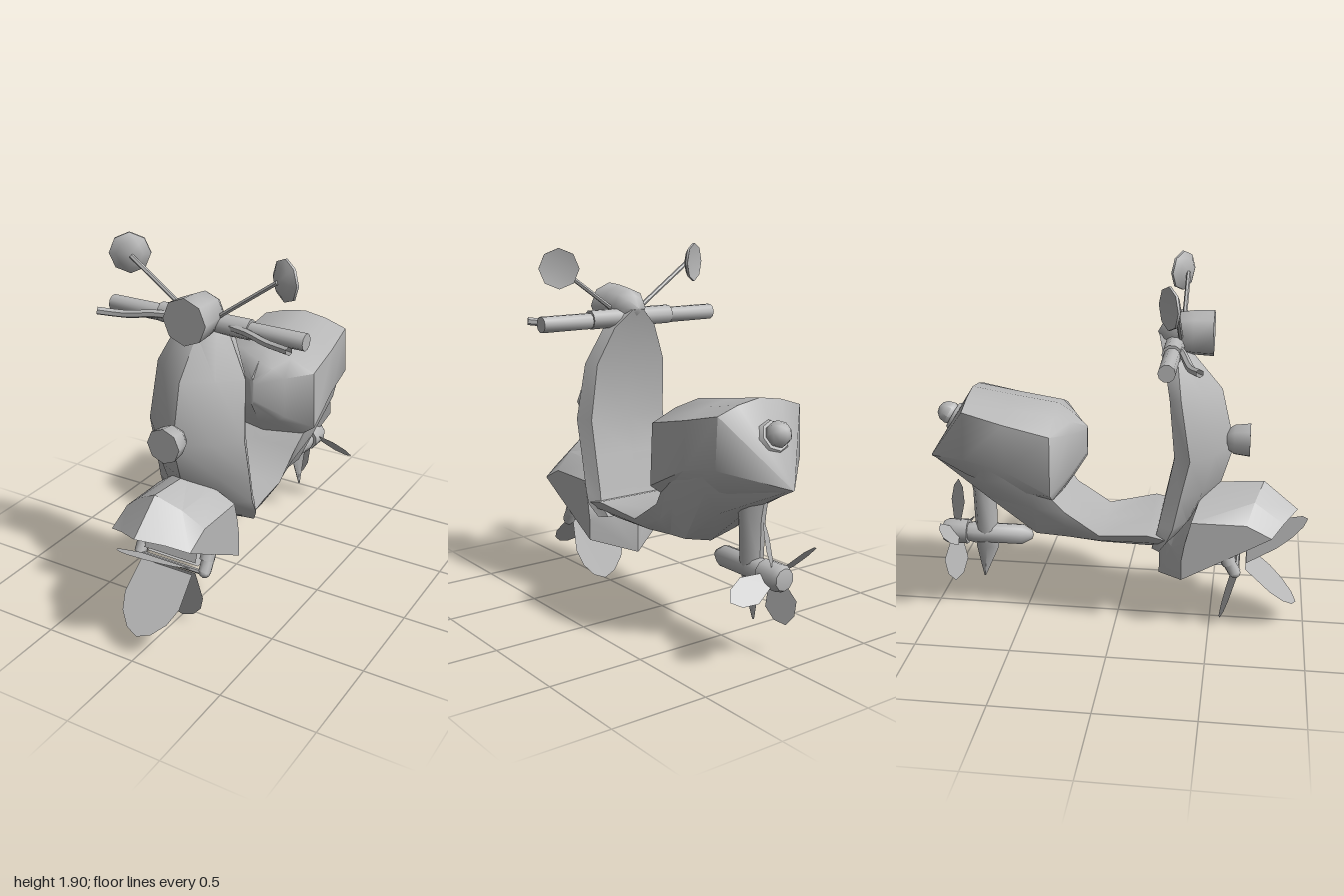
import * as THREE from 'three';
import { toCreasedNormals } from 'three/addons/utils/BufferGeometryUtils.js';

const grey = new THREE.MeshStandardMaterial({ color: 0xb8b8b8, side: THREE.DoubleSide });
grey.name = 'grey';
const V = (x, y, z) => new THREE.Vector3(x, y, z);

function add(parent, name, geometry, crease = 0.9) {
  const mesh = new THREE.Mesh(toCreasedNormals(geometry, crease), grey);
  mesh.name = name;
  parent.add(mesh);
  return mesh;
}

// Skin between rows of points; closed rows form capped tubes, open rows form a shell
function loft(rows, closed = true) {
  const n = rows[0].length, pos = [], idx = [];
  rows.flat().forEach(p => pos.push(p.x, p.y, p.z));
  for (let i = 0; i < rows.length - 1; i++)
    for (let j = 0; j < (closed ? n : n - 1); j++) {
      const a = i * n + j, b = i * n + (j + 1) % n;
      idx.push(a, b, b + n, a, b + n, a + n);
    }
  const last = (rows.length - 1) * n;
  for (let j = 1; closed && j < n - 1; j++) idx.push(0, j + 1, j, last, last + j, last + j + 1);
  const g = new THREE.BufferGeometry();
  g.setAttribute('position', new THREE.Float32BufferAttribute(pos, 3));
  g.setIndex(idx);
  return g;
}

// Mirrors a half section (first and last point on the centre line) into a ring
const ring = half => half.concat(half.slice(1, -1).reverse().map(p => V(-p.x, p.y, p.z)));

// Cylinder or cone between two points
function rod(a, b, r1, r2 = r1, sides = 8) {
  const d = b.clone().sub(a);
  const g = new THREE.CylinderGeometry(r2, r1, d.length(), sides);
  g.applyQuaternion(new THREE.Quaternion().setFromUnitVectors(V(0, 1, 0), d.normalize()));
  const m = a.clone().add(b).multiplyScalar(0.5);
  return g.translate(m.x, m.y, m.z);
}

// Lathe about the z axis; profile is [radius, z]
const latheZ = (profile, y, sides = 8) =>
  new THREE.LatheGeometry(profile.map(([r, z]) => new THREE.Vector2(r, z)), sides)
    .rotateX(Math.PI / 2).translate(0, y, 0);

// Flat symmetric blade growing along +y; outline is [half width, y] from root to tip
function blade(outline) {
  const left = outline.slice(0, -1).reverse().map(([x, y]) => [-x, y]);
  return new THREE.ShapeGeometry(new THREE.Shape([...outline, ...left].map(p => new THREE.Vector2(...p))));
}

export function createModel() {
  const model = new THREE.Group();
  model.name = 'paddleScooter';

  // Leg shield: [y, half width, front z, edge z, back z]
  const shield = [
    [0.49, 0.245, 0.27, 0.24, 0.2], [0.56, 0.28, 0.36, 0.28, 0.22], [0.63, 0.275, 0.43, 0.31, 0.235],
    [0.8, 0.275, 0.54, 0.345, 0.27], [1.0, 0.275, 0.6, 0.39, 0.31], [1.3, 0.25, 0.53, 0.34, 0.28],
    [1.49, 0.15, 0.37, 0.31, 0.24], [1.58, 0.04, 0.27, 0.24, 0.21]
  ].map(([y, w, f, e, b]) => ring([
    V(0, y, b), V(w * 0.85, y, b), V(w, y, e), V(w * 0.6, y, e + (f - e) * 0.55), V(0, y, f)
  ]));
  add(model, 'legShield', loft(shield), 0.6);

  // Floor running back into the belly and tail: [z, bottom, top, half width]
  const floor = [
    [0.27, 0.49, 0.57, 0.275], [0.18, 0.475, 0.59, 0.275], [-0.07, 0.47, 0.55, 0.225],
    [-0.25, 0.475, 0.67, 0.22], [-0.41, 0.48, 0.87, 0.27], [-0.66, 0.68, 0.94, 0.265], [-0.98, 0.86, 0.88, 0.02]
  ].map(([z, b, t, w]) => ring([
    V(0, b, z), V(w * 0.6, b + (t - b) * 0.1, z), V(w * 0.9, b + (t - b) * 0.55, z), V(w, t, z), V(0, t, z)
  ]));
  add(model, 'floor', loft(floor), 0.9);

  // Seat and tail pod, pointed at both ends: [z, bottom, lower side y, upper side y, top, half width]
  const pod = [
    [-0.16, 0.91, 0.94, 1.03, 1.07, 0.012], [-0.235, 0.79, 0.85, 1.07, 1.14, 0.16],
    [-0.31, 0.68, 0.79, 1.1, 1.19, 0.3], [-0.55, 0.64, 0.91, 1.15, 1.225, 0.285],
    [-0.76, 0.74, 0.95, 1.2, 1.26, 0.262], [-1.0, 0.865, 0.868, 0.872, 0.875, 0.006]
  ].map(([z, b, m, u, t, w]) => ring([
    V(0, b, z), V(w * 0.75, b + (m - b) * 0.5, z), V(w, m, z),
    V(w * 0.96, u, z), V(w * 0.5, t - (t - u) * 0.35, z), V(0, t, z)
  ]));
  add(model, 'seatPod', loft(pod), 0.8);

  // Front fender, open below: [ridge z, ridge y, side z, side top y, rim y]
  const fender = [
    [0.94, 0.66, 0.81, 0.585, 0.585], [0.76, 0.81, 0.68, 0.65, 0.51], [0.47, 0.79, 0.4, 0.65, 0.352],
    [0.34, 0.64, 0.37, 0.53, 0.335], [0.22, 0.49, 0.355, 0.44, 0.327]
  ].map(([rz, ry, sz, sy, rim]) => {
    const half = [V(0.225, rim, sz), V(0.225, sy, sz), V(0.125, sy + (ry - sy) * 0.55, sz + (rz - sz) * 0.45)];
    return [...half, V(0, ry, rz), ...half.slice().reverse().map(p => V(-p.x, p.y, p.z))];
  });
  fender.push(fender[0].map(() => V(0, 0.25, 0.22)));
  add(model, 'frontFender', loft(fender, false), 0.5);

  // Front paddle wheel
  const wheel = new THREE.Group();
  wheel.name = 'paddleWheel';
  wheel.position.set(0, 0.39, 0.66);
  model.add(wheel);
  for (const angle of [57, 132, 196, 270, 342]) {
    const paddle = add(wheel, 'paddle',
      blade([[0.15, 0.03], [0.16, 0.21], [0.13, 0.3], [0.07, 0.37], [0, 0.4]]));
    paddle.rotation.x = THREE.MathUtils.degToRad(angle);
  }
  add(wheel, 'axle', rod(V(-0.18, -0.02, -0.02), V(0.18, -0.02, -0.02), 0.012, 0.012, 6));

  // Headlight and horn
  add(model, 'headlight', latheZ([[0, 0.2], [0.065, 0.235], [0.1, 0.29], [0.113, 0.38], [0.118, 0.48], [0, 0.48]], 1.585));
  add(model, 'horn', latheZ([[0, 0.53], [0.05, 0.555], [0.08, 0.6], [0.09, 0.68], [0, 0.68]], 1.03));

  // Handlebar
  add(model, 'handlebar', rod(V(-0.25, 1.535, 0.29), V(0.25, 1.535, 0.29), 0.05, 0.05, 10));

  for (const s of [-1, 1]) {
    add(model, 'grip', rod(V(s * 0.24, 1.53, 0.29), V(s * 0.54, 1.53, 0.29), 0.042, 0.042, 10));
    const lever = new THREE.CatmullRomCurve3([V(s * 0.16, 1.54, 0.32), V(s * 0.27, 1.54, 0.35),
      V(s * 0.38, 1.525, 0.38), V(s * 0.45, 1.525, 0.4), V(s * 0.53, 1.535, 0.44)]);
    add(model, 'brakeLever', new THREE.TubeGeometry(lever, 8, 0.02, 6));

    // Mirrors on thin stems, shallow cones turned toward the centre line
    add(model, 'mirrorStem', rod(V(s * 0.09, 1.58, 0.32), V(s * 0.4, 1.8, 0.32), 0.012, 0.012, 6));
    const mirror = add(model, 'mirror', latheZ([[0, 0.005], [0.103, -0.012], [0.103, 0], [0.065, 0.022], [0, 0.035]], 0));
    mirror.position.set(s * 0.425, 1.805, 0.295);
    mirror.rotation.y = -s * 0.53;

    // Fork legs
    add(model, 'forkLeg', rod(V(s * 0.185, 0.56, 0.53), V(s * 0.185, 0.42, 0.6), 0.039));
    add(model, 'forkFoot', rod(V(s * 0.19, 0.43, 0.595), V(s * 0.19, 0.37, 0.63), 0.033));
    add(model, 'forkKnob', new THREE.SphereGeometry(0.03, 8, 6).translate(s * 0.19, 0.37, 0.63));
  }

  // Tail light on a tilted base
  const tail = new THREE.Group();
  tail.name = 'tailLight';
  tail.position.set(0, 1.09, -0.855);
  tail.rotation.x = -1.05;
  model.add(tail);
  add(tail, 'tailLightBase', new THREE.CylinderGeometry(0.075, 0.1, 0.04, 8));
  add(tail, 'tailLightDome', new THREE.SphereGeometry(0.064, 8, 6).translate(0, 0.04, 0));

  // Outboard leg ending in a pointed fin: [y, front z, back z, half width]
  const leg = [
    [0.85, -0.62, -0.82, 0.075], [0.68, -0.655, -0.785, 0.065], [0.45, -0.66, -0.78, 0.055],
    [0.35, -0.655, -0.78, 0.025], [0.17, -0.735, -0.745, 0.004]
  ].map(([y, f, b, w]) => {
    const m = (f + b) / 2;
    return ring([V(0, y, f), V(w * 0.8, y, f * 0.6 + m * 0.4), V(w, y, m), V(w * 0.8, y, b * 0.6 + m * 0.4), V(0, y, b)]);
  });
  add(model, 'outboardLeg', loft(leg));

  // Motor pod and propeller
  add(model, 'motorPod', latheZ([[0, -0.84], [0.05, -0.82], [0.06, -0.78], [0.055, -0.72], [0.055, -0.52],
    [0.025, -0.47], [0, -0.46]], 0.43, 10));
  add(model, 'propellerHub', latheZ([[0, -0.965], [0.055, -0.955], [0.068, -0.93], [0.068, -0.82], [0, -0.82]], 0.43, 10));
  const outline = [[0.035, 0.04], [0.075, 0.16], [0.05, 0.24], [0, 0.28]];
  for (let i = 0; i < 4; i++)
    add(model, 'propellerBlade',
      blade(outline).rotateY(0.75).rotateZ(i * Math.PI / 2 - 0.28).translate(0, 0.435, -0.885));
  return model;
}
